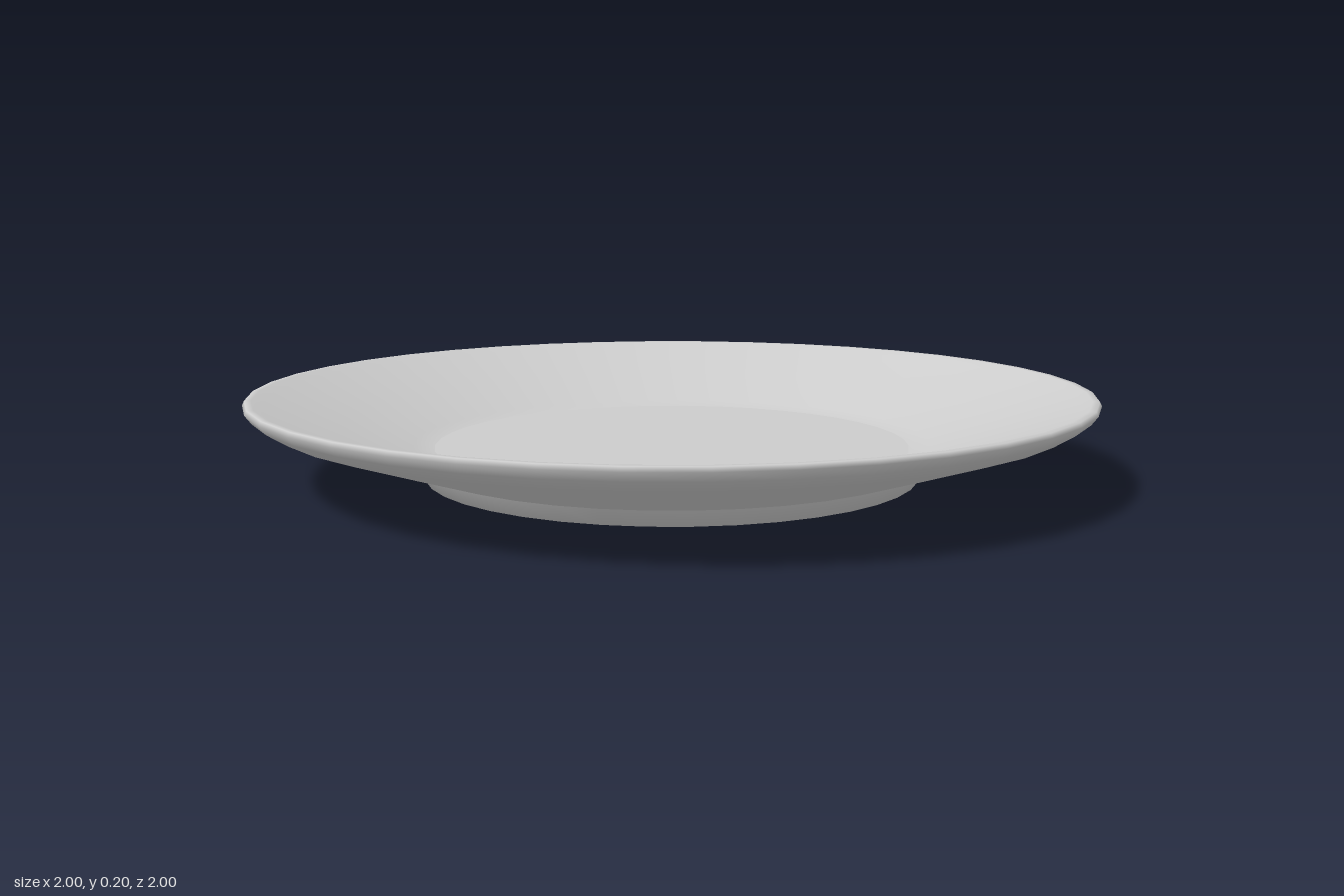
import * as THREE from 'three';

const SEGMENTS = 40;

export function createModel() {
  const group = new THREE.Group();
  group.name = 'plate';
  const glaze = new THREE.MeshStandardMaterial({ color: 0xcccccc });
  glaze.name = 'pale grey glaze';

  // Each part is a smooth turned profile of [radius, height] points, running
  // outward and up along the underside, then inward and down along the top.
  const turn = (name, profile) => {
    const points = profile.map(([r, y]) => new THREE.Vector2(r, y));
    const mesh = new THREE.Mesh(new THREE.LatheGeometry(points, SEGMENTS), glaze);
    mesh.name = name;
    group.add(mesh);
  };

  // Recessed base inside the foot
  turn('base', [[0, 0.025], [0.53, 0.025]]);

  // Standing ring
  turn('footRing', [[0.53, 0.025], [0.55, 0.015], [0.565, 0], [0.593, 0], [0.62, 0.04]]);

  // Sloping underside, rounded lip and dished upper side
  turn('dish', [
    [0.62, 0.04], [0.78, 0.093], [0.94, 0.147], [0.985, 0.175], [1, 0.195],
    [0.995, 0.205], [0.98, 0.205], [0.96, 0.193], [0.78, 0.132], [0.62, 0.078], [0.57, 0.07],
  ]);

  // Flat eating surface
  turn('floor', [[0.57, 0.07], [0, 0.07]]);

  return group;
}
